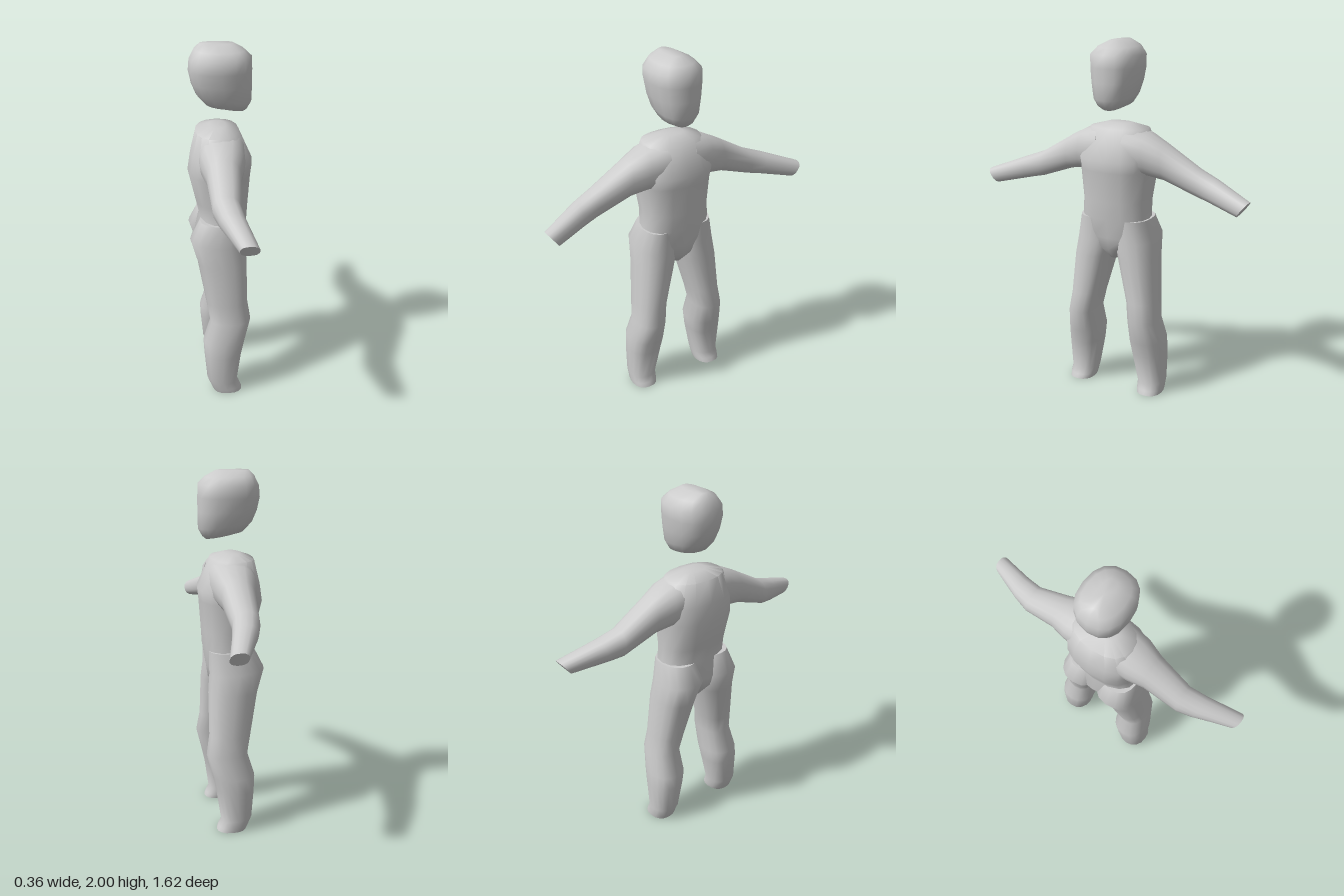
import * as THREE from 'three';
import { toCreasedNormals } from 'three/addons/utils/BufferGeometryUtils.js';

const SIDES = 16;
const material = new THREE.MeshStandardMaterial({ color: 0xcccccc });
const power = (v, e) => Math.sign(v) * Math.abs(v) ** e;

// Closed skin through rounded rings. Each row: [p0, y0, p1, y1, mid, half]:
// a ring spanning (p0,y0)-(p1,y1) in its main plane, and mid +- half across it.
// Upright parts run p along x and across along z; arms the other way round.
function loft(name, rows, { arm = false, mirror = 1, round = 0.85 } = {}) {
  const points = [], index = [];
  const add = (p, y, s) => {
    const [x, z] = arm ? [s, p] : [p, s];
    points.push(x, y, z * mirror);
  };
  const tri = (a, b, c) => (mirror > 0 ? index.push(a, b, c) : index.push(a, c, b));
  for (const [p0, y0, p1, y1, mid, half] of rows) {
    for (let j = 0; j < SIDES; j++) {
      const t = (j / SIDES) * Math.PI * 2;
      const c = power(Math.cos(t), round) / 2 + 0.5;
      add(p0 + (p1 - p0) * c, y0 + (y1 - y0) * c, mid + half * power(Math.sin(t), round));
    }
  }
  for (let i = 0; i < rows.length - 1; i++) {
    for (let j = 0; j < SIDES; j++) {
      const k = (j + 1) % SIDES;
      const a = i * SIDES + j, b = i * SIDES + k;
      tri(a, a + SIDES, b);
      tri(b, a + SIDES, b + SIDES);
    }
  }
  // End caps
  for (const i of [0, rows.length - 1]) {
    const [p0, y0, p1, y1, mid] = rows[i];
    const centre = points.length / 3;
    add((p0 + p1) / 2, (y0 + y1) / 2, mid);
    for (let j = 0; j < SIDES; j++) {
      const a = i * SIDES + j, b = i * SIDES + ((j + 1) % SIDES);
      if (i === 0) tri(centre, a, b);
      else tri(centre, b, a);
    }
  }
  const geometry = new THREE.BufferGeometry();
  geometry.setAttribute('position', new THREE.Float32BufferAttribute(points, 3));
  geometry.setIndex(index);
  const mesh = new THREE.Mesh(toCreasedNormals(geometry, 1.0), material);
  mesh.name = name;
  return mesh;
}

const headRows = [
  [-0.03, 1.66, 0.13, 1.635, 0, 0.05],
  [-0.08, 1.675, 0.145, 1.65, 0, 0.085],
  [-0.13, 1.73, 0.168, 1.69, 0, 0.11],
  [-0.155, 1.79, 0.17, 1.78, 0, 0.128],
  [-0.17, 1.86, 0.17, 1.86, 0, 0.138],
  [-0.165, 1.92, 0.167, 1.93, 0, 0.14],
  [-0.14, 1.97, 0.13, 1.965, 0, 0.105],
  [-0.11, 2.0, 0.07, 2.0, 0, 0.04],
];

const torsoRows = [
  [-0.06, 0.79, 0.07, 0.79, 0, 0.03],
  [-0.12, 0.86, 0.12, 0.85, 0, 0.1],
  [-0.145, 0.93, 0.13, 0.92, 0, 0.21],
  [-0.12, 1.04, 0.148, 1.03, 0, 0.2],
  [-0.14, 1.13, 0.155, 1.13, 0, 0.195],
  [-0.18, 1.3, 0.168, 1.3, 0, 0.215],
  [-0.165, 1.4, 0.175, 1.36, 0, 0.225],
  [-0.135, 1.525, 0.1, 1.53, 0, 0.17],
  [-0.06, 1.555, 0.03, 1.555, 0, 0.07],
];

const legRows = [
  [-0.055, 0, 0.11, 0, 0.225, 0.072],
  [-0.065, 0.02, 0.1, 0.025, 0.224, 0.076],
  [-0.09, 0.08, 0.083, 0.055, 0.222, 0.078],
  [-0.105, 0.24, 0.11, 0.24, 0.208, 0.097],
  [-0.11, 0.32, 0.128, 0.32, 0.201, 0.1],
  [-0.07, 0.45, 0.16, 0.45, 0.193, 0.086],
  [-0.09, 0.56, 0.142, 0.56, 0.178, 0.09],
  [-0.135, 0.8, 0.14, 0.8, 0.138, 0.112],
  [-0.175, 0.93, 0.13, 0.9, 0.118, 0.122],
  [-0.12, 1.04, 0.13, 1.03, 0.11, 0.1],
];

const armRows = [
  [0.08, 1.28, 0.08, 1.545, 0, 0.13],
  [0.21, 1.28, 0.19, 1.513, 0, 0.12],
  [0.3, 1.265, 0.29, 1.462, 0, 0.092],
  [0.5, 1.195, 0.49, 1.345, 0, 0.073],
  [0.57, 1.182, 0.6, 1.305, 0.022, 0.068],
  [0.75, 1.145, 0.81, 1.225, 0.09, 0.05],
];

export function createModel() {
  const model = new THREE.Group();
  model.name = 'figure';
  model.add(loft('head', headRows), loft('torso', torsoRows));
  // Limbs, mirrored across the body
  for (const [side, mirror] of [['near', 1], ['far', -1]]) {
    model.add(
      loft(`${side}Leg`, legRows, { mirror }),
      loft(`${side}Arm`, armRows, { mirror, arm: true }),
    );
  }
  return model;
}
